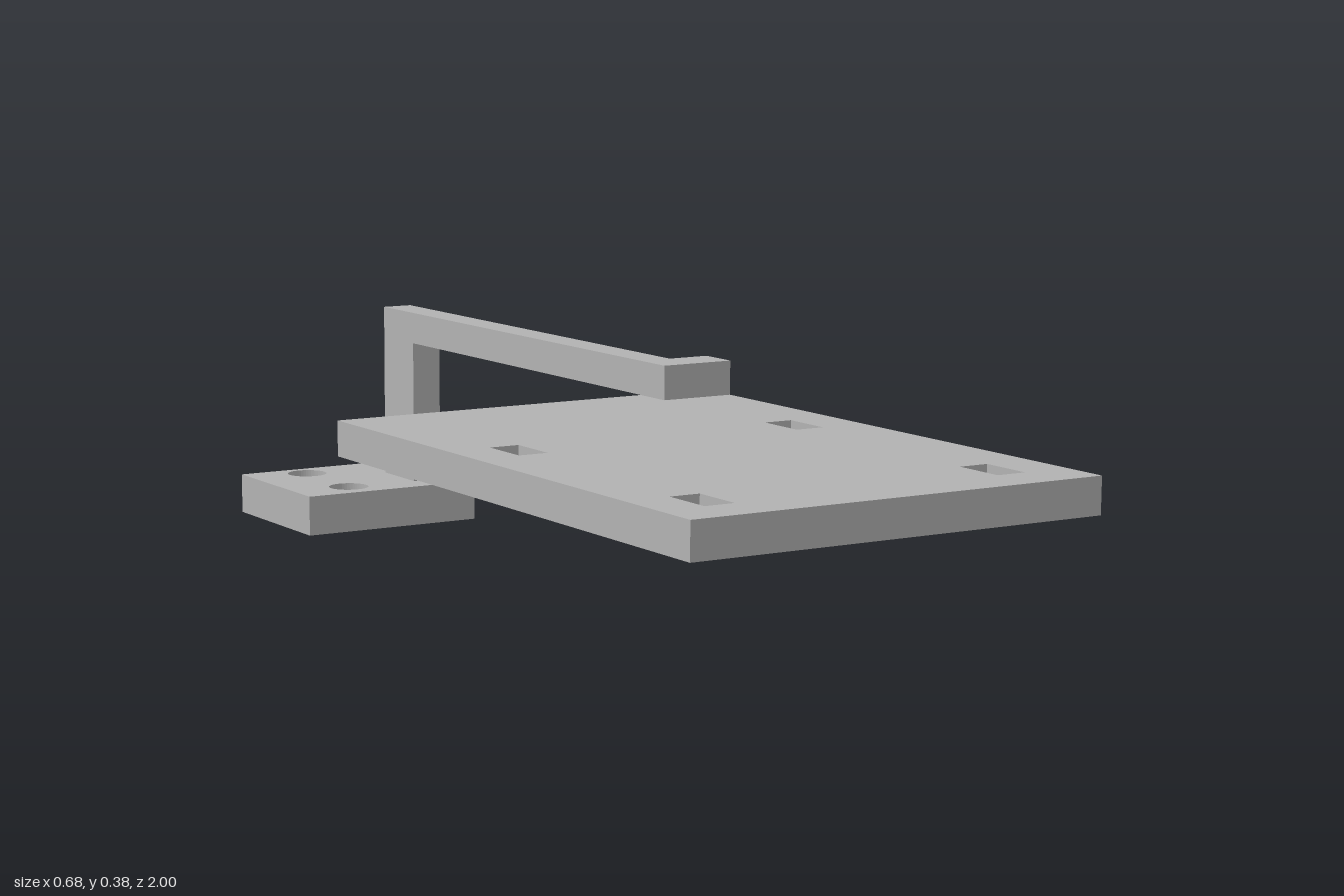
import * as THREE from 'three';

const grey = new THREE.MeshStandardMaterial({ color: 0xb2b2b2 });
grey.name = 'plain grey';

// Box given by its limits on each axis
function block(name, [x0, x1], [y0, y1], [z0, z1]) {
  const mesh = new THREE.Mesh(new THREE.BoxGeometry(x1 - x0, y1 - y0, z1 - z0), grey);
  mesh.position.set((x0 + x1) / 2, (y0 + y1) / 2, (z0 + z1) / 2);
  mesh.name = name;
  return mesh;
}

// Rectangle outline in plan, where the shape's y is -z
function rectangle(path, [x0, x1], [z0, z1]) {
  path.moveTo(x0, -z1);
  path.lineTo(x1, -z1);
  path.lineTo(x1, -z0);
  path.lineTo(x0, -z0);
  path.closePath();
  return path;
}

// Flat plate with holes, extruded upward
function plate(name, x, [y0, y1], z, holes) {
  const shape = rectangle(new THREE.Shape(), x, z);
  shape.holes.push(...holes);
  const geometry = new THREE.ExtrudeGeometry(shape, { depth: y1 - y0, bevelEnabled: false, curveSegments: 24 });
  geometry.rotateX(-Math.PI / 2);
  geometry.translate(0, y0, 0);
  const mesh = new THREE.Mesh(geometry, grey);
  mesh.name = name;
  return mesh;
}

export function createModel() {
  const model = new THREE.Group();
  model.name = 'mountingBracket';

  // Large plate with four rectangular slots
  const slots = [];
  for (const x of [-0.245, 0.241])
    for (const z of [0.4, 0.883])
      slots.push(rectangle(new THREE.Path(), [x - 0.024, x + 0.024], [z - 0.042, z + 0.042]));
  model.add(plate('slottedPlate', [-0.34, 0.34], [0.271, 0.327], [0.008, 1], slots));

  // Foot with two round screw holes
  const screwHoles = [-0.95, -0.78].map((z) => new THREE.Path().absarc(0.082, -z, 0.036, 0, Math.PI * 2));
  model.add(plate('foot', [-0.029, 0.311], [0, 0.071], [-1, -0.718], screwHoles));

  // Raised corner block, arm and post
  const armX = [0.213, 0.268];
  const armY = [0.327, 0.383];
  model.add(block('cornerBlock', [0.213, 0.34], armY, [0.008, 0.078]));
  model.add(block('arm', armX, armY, [-0.885, 0.008]));
  model.add(block('post', armX, [0.071, 0.327], [-0.885, -0.772]));

  return model;
}
